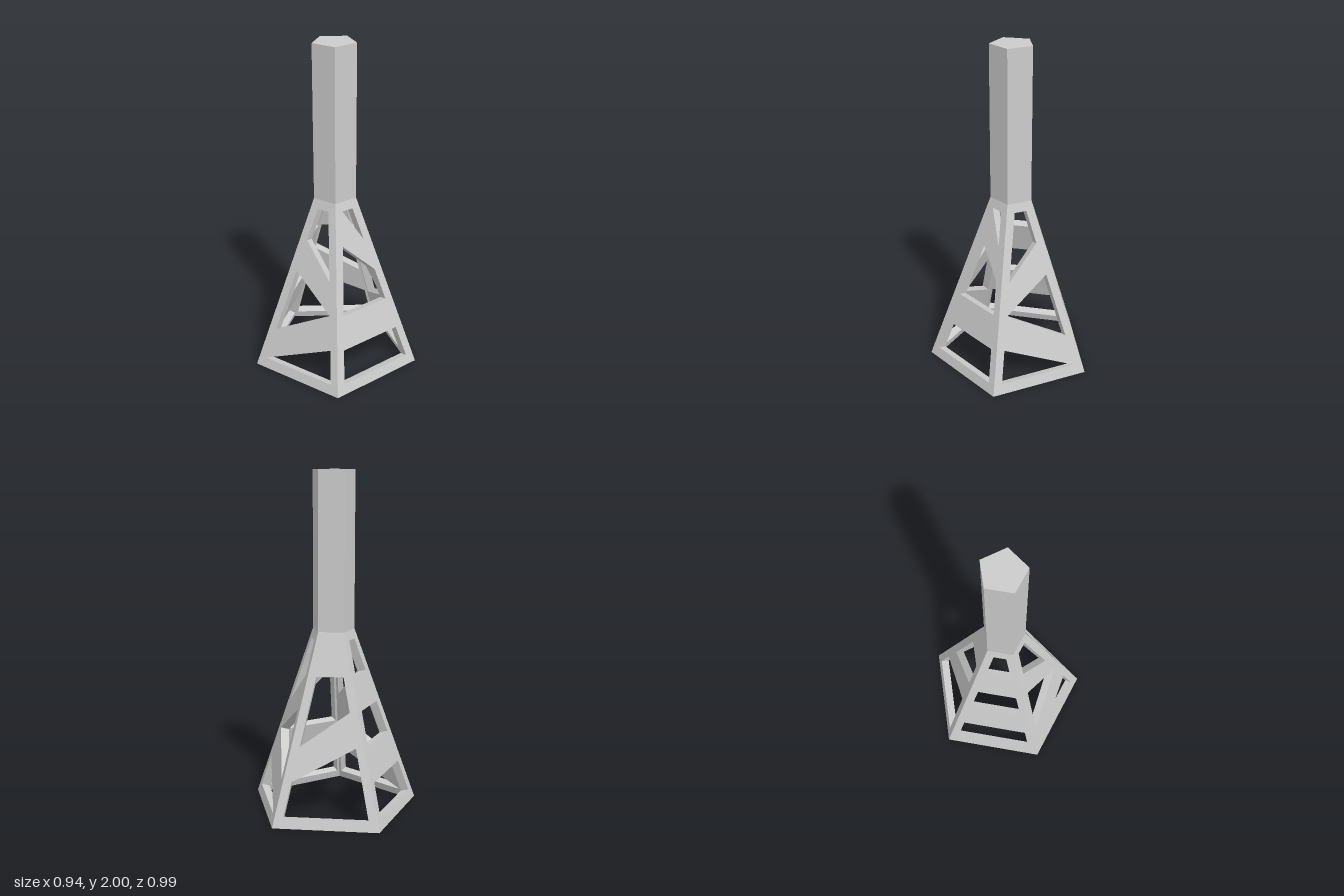
import * as THREE from 'three';

const BASE_R = 0.5195, TOP_R = 0.129, SKIRT_H = 1.08, TOTAL_H = 2;
const CENTRE_X = -0.0495, WALL = 0.05, INSET = 0.05;
const LEVELS = [0.06, 0.253, 0.447, 0.64, 0.833, 1.027];
const APOTHEM = Math.cos(Math.PI / 5), HALF = Math.sin(Math.PI / 5);
const TILT = Math.atan(APOTHEM * (BASE_R - TOP_R) / SKIRT_H);
const SLOPE = SKIRT_H / Math.cos(TILT);

// openings per side as level indices: [left low, left high, right low, right high]
const SIDES = [
  { angle: 36, openings: [[0, 1, 0, 1], [2, 4, 2, 3], [5, 5, 4, 5]] },
  { angle: 108, openings: [[0, 0, 0, 1], [1, 3, 2, 2], [4, 5, 3, 5]] },
  { angle: 180, openings: [[0, 1, 0, 1], [2, 3, 2, 3], [4, 5, 4, 5]] },
  { angle: 252, openings: [[0, 1, 0, 2], [2, 4, 3, 4]] },
  { angle: 324, openings: [[0, 1, 0, 0], [2, 2, 1, 3], [3, 5, 4, 5]] },
];

const halfWidth = y => HALF * (BASE_R + (TOP_R - BASE_R) * y / SKIRT_H);

// point in the plane of a panel, at a given height on its left (-1) or right (1)
const panelPoint = (side, y, inset) =>
  new THREE.Vector2(side * (halfWidth(y) - inset), y / Math.cos(TILT));

function panelGeometry(openings) {
  const shape = new THREE.Shape([
    panelPoint(-1, 0, 0), panelPoint(1, 0, 0),
    panelPoint(1, SKIRT_H, 0), panelPoint(-1, SKIRT_H, 0),
  ]);
  for (const [l0, l1, r0, r1] of openings) {
    const points = [[-1, l0], [1, r0], [1, r1], [-1, l1]]
      .map(([side, level]) => panelPoint(side, LEVELS[level], INSET));
    // drop the doubled corner of a triangular opening
    shape.holes.push(new THREE.Path(points.filter((p, i) => !p.equals(points[(i + 1) % 4]))));
  }
  const geometry = new THREE.ExtrudeGeometry(shape, { depth: WALL, bevelEnabled: false });
  geometry.translate(0, 0, -WALL);

  // mitre the inner outline corners and keep the rims level
  const pos = geometry.attributes.position;
  const mitre = WALL / Math.cos(TILT) * Math.tan(Math.PI / 5);
  for (let i = 0; i < pos.count; i++) {
    const x = pos.getX(i), y = pos.getY(i);
    const onRim = y < 1e-4 || y > SLOPE - 1e-4;
    if (onRim && pos.getZ(i) < -WALL / 2) {
      pos.setXY(i, x - Math.sign(x) * mitre, y + WALL * Math.tan(TILT));
    }
  }
  geometry.computeVertexNormals();
  return geometry;
}

export function createModel() {
  const model = new THREE.Group();
  model.name = 'pentagonalTower';
  const material = new THREE.MeshStandardMaterial({ color: 0xcccccc, flatShading: true });

  // solid five-sided shaft
  const shaftH = TOTAL_H - SKIRT_H;
  const shaft = new THREE.Mesh(
    new THREE.CylinderGeometry(TOP_R, TOP_R, shaftH, 5, 1, false, Math.PI / 2), material);
  shaft.name = 'shaft';
  shaft.position.set(CENTRE_X, SKIRT_H + shaftH / 2, 0);
  model.add(shaft);

  // five sloping lattice panels
  const skirt = new THREE.Group();
  skirt.name = 'latticeSkirt';
  skirt.position.x = CENTRE_X;
  const up = new THREE.Vector3(0, 1, 0);
  SIDES.forEach(({ angle, openings }, i) => {
    const a = THREE.MathUtils.degToRad(angle);
    const out = new THREE.Vector3(Math.cos(a), 0, Math.sin(a));
    const along = up.clone().cross(out);
    const rise = up.clone().multiplyScalar(Math.cos(TILT)).addScaledVector(out, -Math.sin(TILT));
    const normal = along.clone().cross(rise);
    const panel = new THREE.Mesh(panelGeometry(openings), material);
    panel.name = `latticePanel${i + 1}`;
    panel.quaternion.setFromRotationMatrix(new THREE.Matrix4().makeBasis(along, rise, normal));
    panel.position.copy(out).multiplyScalar(BASE_R * APOTHEM);
    skirt.add(panel);
  });
  model.add(skirt);
  return model;
}
